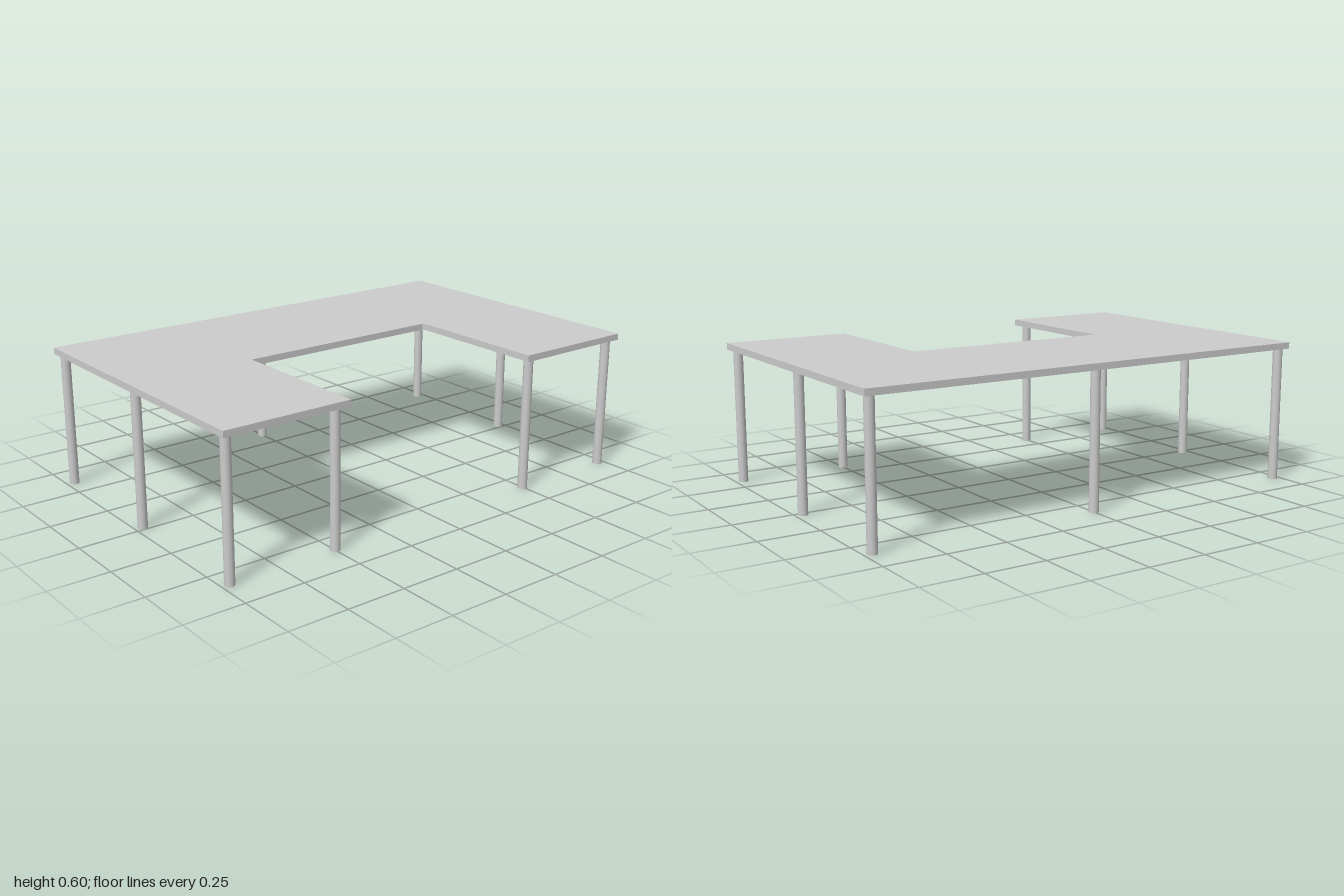
import * as THREE from 'three';

const HEIGHT = 0.595, THICK = 0.027, HALF_W = 1, HALF_D = 0.64;
const NOTCH_X = 0.455, NOTCH_Z = 0.003, NOTCH_R = 0.01;
const LEG_R = 0.02;

export function createModel() {
  const model = new THREE.Group();
  model.name = 'uShapedTable';
  const material = new THREE.MeshStandardMaterial({ color: 0xcccccc });

  // U-shaped top, drawn in plan (shape y = -z), inner corners slightly rounded
  const plan = new THREE.Shape();
  plan.moveTo(-HALF_W, -HALF_D);
  plan.lineTo(-NOTCH_X, -HALF_D);
  plan.lineTo(-NOTCH_X, -NOTCH_Z - NOTCH_R);
  plan.absarc(-NOTCH_X + NOTCH_R, -NOTCH_Z - NOTCH_R, NOTCH_R, Math.PI, Math.PI / 2, true);
  plan.lineTo(NOTCH_X - NOTCH_R, -NOTCH_Z);
  plan.absarc(NOTCH_X - NOTCH_R, -NOTCH_Z - NOTCH_R, NOTCH_R, Math.PI / 2, 0, true);
  plan.lineTo(NOTCH_X, -HALF_D);
  plan.lineTo(HALF_W, -HALF_D);
  plan.lineTo(HALF_W, HALF_D);
  plan.lineTo(-HALF_W, HALF_D);
  plan.closePath();

  const topGeometry = new THREE.ExtrudeGeometry(plan, { depth: THICK, bevelEnabled: false, curveSegments: 6 });
  topGeometry.rotateX(-Math.PI / 2);
  const top = new THREE.Mesh(topGeometry, material);
  top.name = 'tableTop';
  top.position.y = HEIGHT - THICK;
  model.add(top);

  // Round legs: along the back, at the middle of each side, and under the arm ends
  const legHeight = HEIGHT - THICK;
  const legGeometry = new THREE.CylinderGeometry(LEG_R, LEG_R, legHeight, 24);
  const addLeg = (name, x, z) => {
    const leg = new THREE.Mesh(legGeometry, material);
    leg.name = name;
    leg.position.set(x, legHeight / 2, z);
    model.add(leg);
  };
  addLeg('backMiddleLeg', 0, -0.607);
  for (const [side, s] of [['left', 1], ['right', -1]]) {
    addLeg(`${side}BackLeg`, s * 0.967, -0.607);
    addLeg(`${side}SideLeg`, s * 0.967, -0.02);
    addLeg(`${side}FrontOuterLeg`, s * 0.967, 0.6);
    addLeg(`${side}FrontInnerLeg`, s * 0.497, 0.6);
  }
  return model;
}
